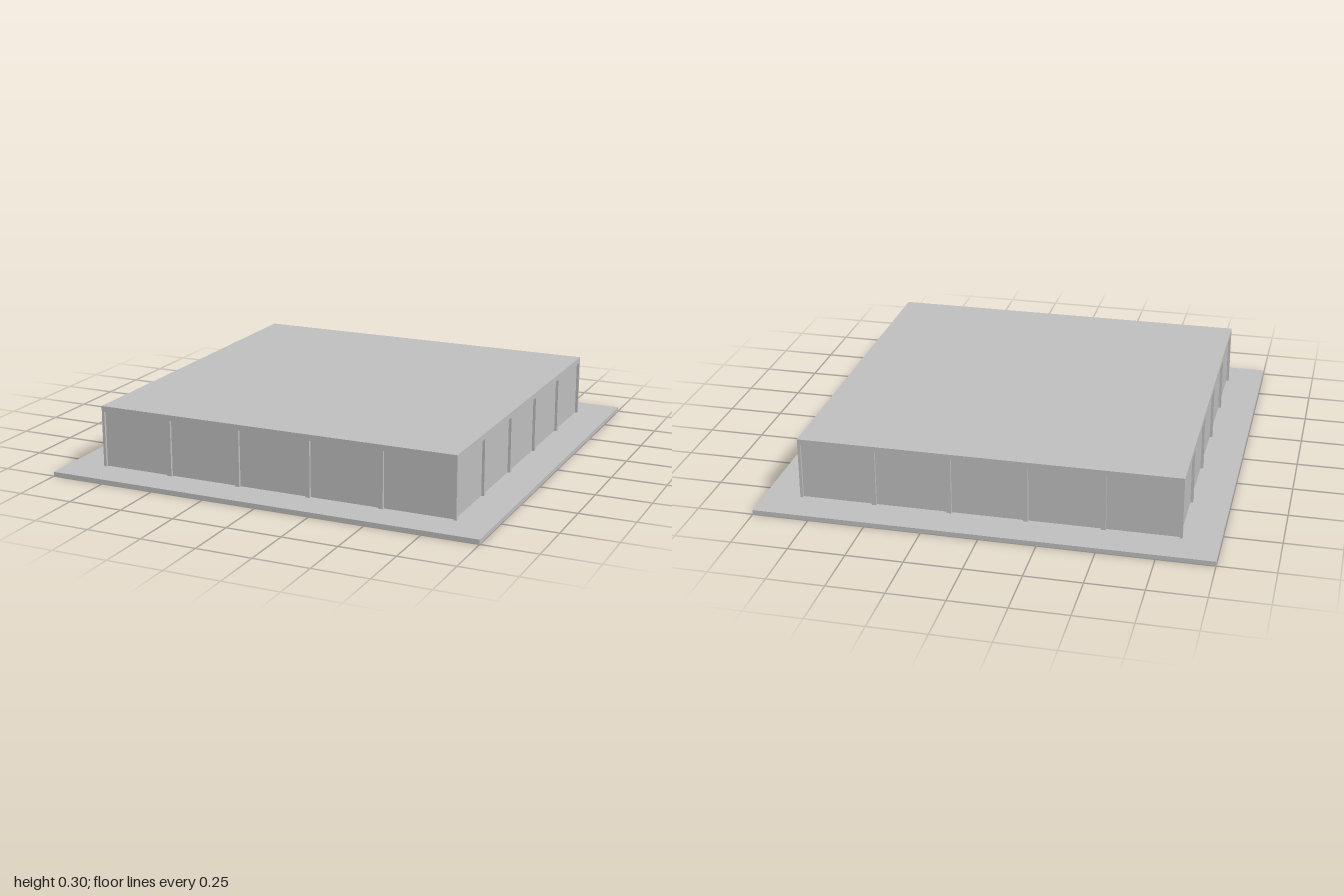
import * as THREE from 'three';

const HALF = 0.84;      // half width of the block
const RECESS = 0.012;   // depth of the wall bays
const BASE = 0.02;      // plinth height
const BAY_TOP = 0.274;  // top of the bays
const TOP = 0.3;
const BAYS = 5;

export function createModel() {
  const model = new THREE.Group();
  const grey = new THREE.MeshStandardMaterial({ color: 0xc0c0c0 });
  grey.name = 'light grey';

  const box = (parent, name, w, d, y0, y1, x = 0, z = 0) => {
    const mesh = new THREE.Mesh(new THREE.BoxGeometry(w, y1 - y0, d), grey);
    mesh.name = name;
    mesh.position.set(x, (y0 + y1) / 2, z);
    parent.add(mesh);
  };

  // Plinth, recessed wall core and flat roof
  const inner = 2 * (HALF - RECESS);
  box(model, 'basePlate', 2, 2, 0, BASE);
  box(model, 'wallPanels', inner, inner, BASE, BAY_TOP);
  box(model, 'roofSlab', 2 * HALF, 2 * HALF, BAY_TOP, TOP);

  // Square posts at the four corners
  const corner = HALF - RECESS / 2;
  for (const x of [-corner, corner])
    for (const z of [-corner, corner])
      box(model, 'cornerPost', RECESS, RECESS, BASE, BAY_TOP, x, z);

  // Shallow posts dividing each side into five bays
  const pitch = (2 * HALF) / BAYS;
  for (let side = 0; side < 4; side++) {
    const wall = new THREE.Group();
    wall.name = 'wallPosts';
    wall.rotation.y = (side * Math.PI) / 2;
    for (let i = 1; i < BAYS; i++)
      box(wall, 'post', 0.02, RECESS, BASE, BAY_TOP, -HALF + i * pitch, corner);
    model.add(wall);
  }
  return model;
}
